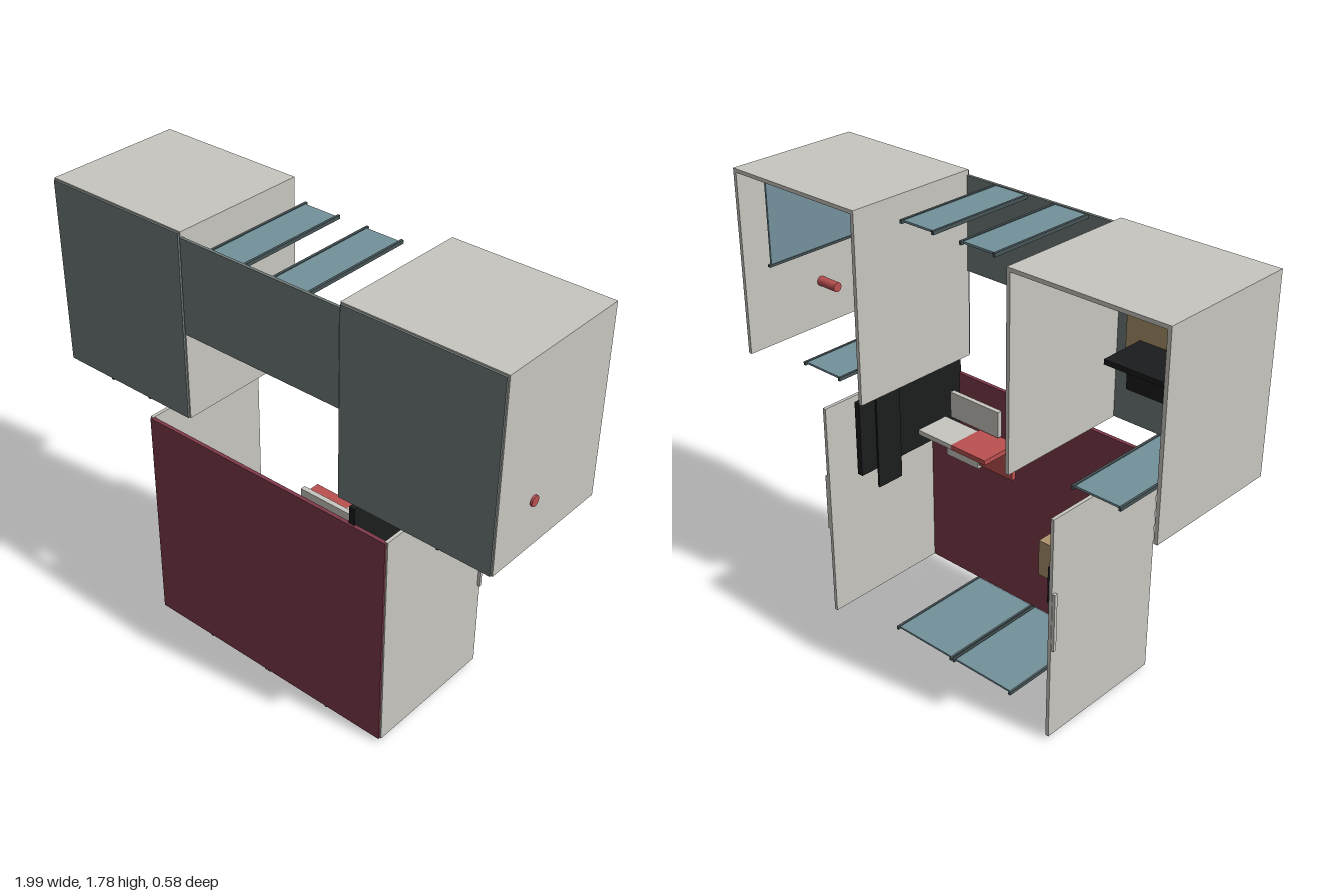
import * as THREE from 'three';

const mat = (name, color) => {
  const m = new THREE.MeshStandardMaterial({ color });
  m.name = name;
  return m;
};

export function createModel() {
  const M = {
    pale: mat('pale grey', 0xc8c6c0),
    slate: mat('slate grey', 0x707b79),
    wine: mat('wine red', 0x7e394a),
    blue: mat('dusty blue', 0x73919b),
    rail: mat('dark rail', 0x465457),
    black: mat('black', 0x1b1c1d),
    red: mat('soft red', 0xbb5050),
    tan: mat('tan', 0xac936b),
  };
  const model = new THREE.Group();

  // box given by its min and max on each axis
  function box(name, m, x0, x1, y0, y1, z0, z1, parent = model) {
    const mesh = new THREE.Mesh(new THREE.BoxGeometry(x1 - x0, y1 - y0, z1 - z0), m);
    mesh.position.set((x0 + x1) / 2, (y0 + y1) / 2, (z0 + z1) / 2);
    mesh.name = name;
    parent.add(mesh);
    return mesh;
  }

  // flat blue panel with a dark rail on each long side
  function railPanel(name, x0, x1, y) {
    const g = new THREE.Group();
    g.name = name;
    box('panelSheet', M.blue, x0 + 0.01, x1 - 0.01, y - 0.004, y + 0.004, -0.19, 0.275, g);
    for (const x of [x0, x1 - 0.01]) box('panelRail', M.rail, x, x + 0.01, y - 0.007, y + 0.007, -0.2, 0.28, g);
    model.add(g);
  }

  // lower bay: front panel and two side walls
  box('lowerFrontPanel', M.wine, -0.57, 0.56, 0.015, 0.938, 0.272, 0.288);
  box('lowerRightWall', M.pale, -0.576, -0.562, 0.015, 0.94, -0.29, 0.28);
  box('lowerLeftWall', M.pale, 0.552, 0.566, 0.015, 0.94, -0.29, 0.28);
  box('rightWallHandle', M.pale, -0.588, -0.576, 0.4, 0.64, -0.288, -0.275);
  box('leftWallHandle', M.pale, 0.566, 0.578, 0.4, 0.64, -0.288, -0.275);

  // upper cabinets, open at the back and below
  for (const [side, x0, x1] of [['right', -0.995, -0.357], ['left', 0.347, 0.987]]) {
    box(side + 'CabinetFront', M.slate, x0 + 0.005, x1 - 0.005, 1.032, 1.775, 0.272, 0.288);
    box(side + 'CabinetTop', M.pale, x0, x1, 1.765, 1.78, -0.29, 0.28);
    for (const x of [x0, x1 - 0.015]) box(side + 'CabinetWall', M.pale, x, x + 0.015, 1.03, 1.765, -0.29, 0.28);
  }
  box('bridgePanel', M.slate, -0.357, 0.347, 1.385, 1.76, 0.272, 0.284);

  // sliding panels: floor, cabinet bottoms, bridge top
  railPanel('floorPanelRight', -0.31, -0.008, 0.007);
  railPanel('floorPanelLeft', -0.002, 0.3, 0.007);
  railPanel('cabinetPanelRight', -0.78, -0.57, 1.026);
  railPanel('cabinetPanelLeft', 0.565, 0.77, 1.026);
  railPanel('bridgePanelRight', -0.225, -0.065, 1.752);
  railPanel('bridgePanelLeft', 0.053, 0.213, 1.752);

  // upright blue panels inside the cabinets
  for (const [name, x] of [['rightInnerPanel', -0.945], ['leftInnerPanel', 0.937]]) {
    box(name, M.blue, x - 0.004, x + 0.004, 1.385, 1.73, -0.19, 0.272);
    for (const y of [1.375, 1.73]) box(name + 'Rail', M.rail, x - 0.007, x + 0.007, y, y + 0.01, -0.2, 0.272);
  }

  // red pin through the left cabinet wall
  const pin = new THREE.Mesh(new THREE.CylinderGeometry(0.02, 0.02, 0.12, 20), M.red);
  pin.rotation.z = Math.PI / 2;
  pin.position.set(0.935, 1.22, 0.083);
  pin.name = 'redPin';
  model.add(pin);

  // black screen and its thin side plate
  box('screen', M.black, 0.395, 0.42, 0.7, 1.008, -0.26, 0.28);
  box('screenPlate', M.black, 0.378, 0.386, 0.625, 1.02, -0.19, -0.07);

  // pale and red folding seat
  box('paleSeat', M.pale, 0.21, 0.385, 0.765, 0.785, 0.03, 0.18);
  box('paleSeatLeg', M.pale, 0.215, 0.385, 0.61, 0.765, 0.185, 0.205);
  box('seatBack', M.pale, 0.11, 0.36, 0.79, 0.9, 0.185, 0.205);
  box('redSeat', M.red, 0.035, 0.21, 0.765, 0.785, 0.03, 0.205);
  box('redSeatLeg', M.red, 0.035, 0.21, 0.63, 0.765, 0.185, 0.205);

  // tan case with a black plate behind it
  box('tanCase', M.tan, -0.43, -0.255, 0.42, 0.57, 0.012, 0.265);
  box('casePlate', M.black, -0.353, -0.345, 0.36, 0.52, -0.04, 0.012);

  // shelf and board inside the right cabinet
  box('tanBoard', M.tan, -0.93, -0.43, 1.32, 1.74, 0.245, 0.272);
  box('blackShelf', M.black, -0.88, -0.49, 1.36, 1.38, 0.05, 0.245);
  box('shelfBlock', M.black, -0.85, -0.55, 1.27, 1.36, 0.1, 0.25);

  return model;
}
